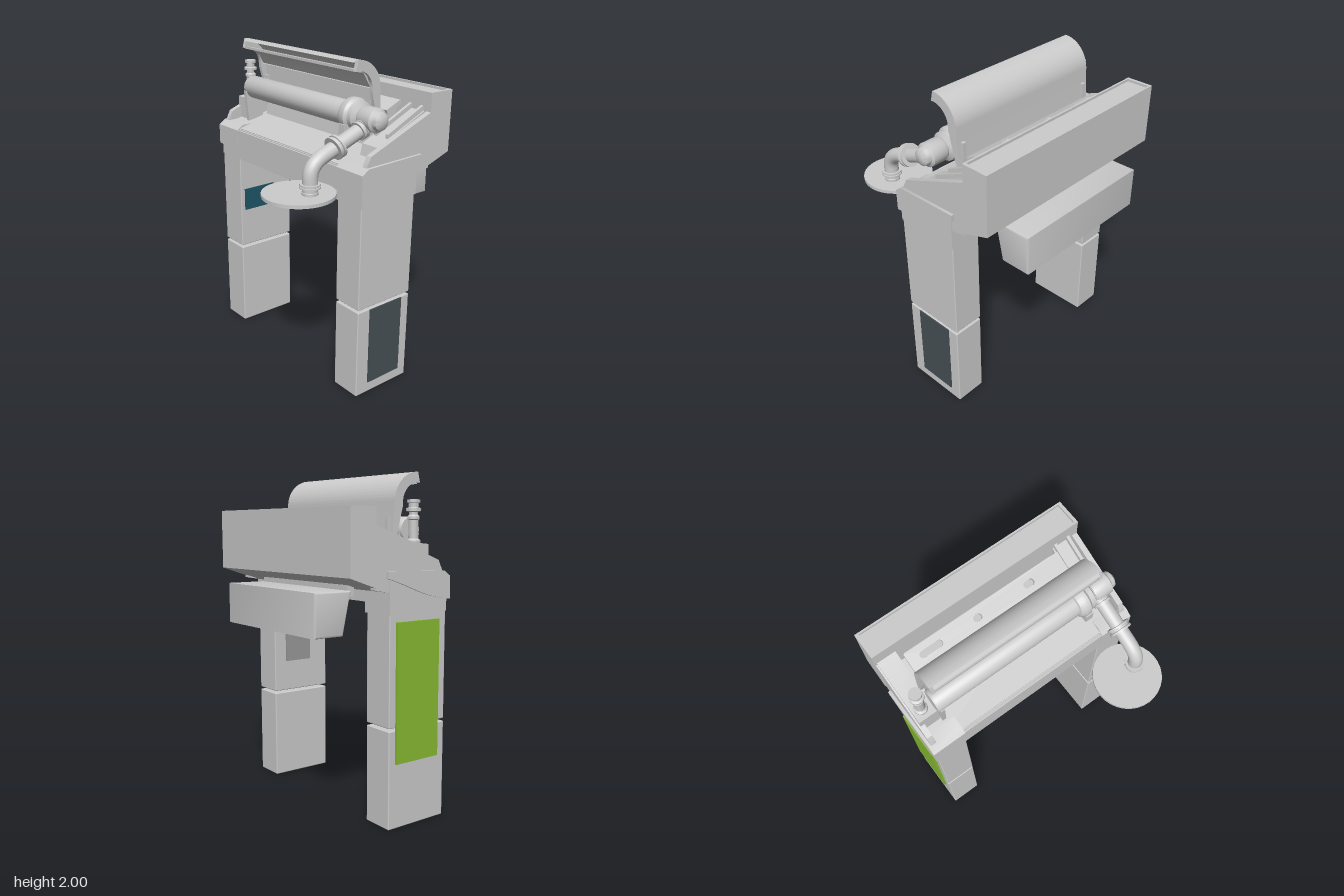
import * as THREE from 'three';
import { RoundedBoxGeometry } from 'three/addons/geometries/RoundedBoxGeometry.js';
import { toCreasedNormals } from 'three/addons/utils/BufferGeometryUtils.js';

export function createModel() {
  const model = new THREE.Group();
  const paint = (color) => new THREE.MeshStandardMaterial({ color });
  const grey = paint(0xcccccc);
  const V = (x, y, z) => new THREE.Vector3(x, y, z);

  function add(name, geometry, material = grey, parent = model) {
    const mesh = new THREE.Mesh(geometry, material);
    mesh.name = name;
    parent.add(mesh);
    return mesh;
  }
  // Box given by its limits on each axis
  function box(name, [x0, x1], [y0, y1], [z0, z1], material, round = 0) {
    const size = [x1 - x0, y1 - y0, z1 - z0];
    const geo = round ? new RoundedBoxGeometry(...size, 2, round) : new THREE.BoxGeometry(...size);
    geo.translate((x0 + x1) / 2, (y0 + y1) / 2, (z0 + z1) / 2);
    return add(name, geo, material);
  }
  // Side profile of [z, y] points, extruded from x0 to x1
  function profile(name, points, x0, x1, bevel = 0) {
    const shape = points instanceof THREE.Shape ? points
      : new THREE.Shape(points.map(([z, y]) => new THREE.Vector2(z, y)));
    const geo = new THREE.ExtrudeGeometry(shape, {
      depth: x1 - x0 - 2 * bevel, bevelEnabled: bevel > 0, bevelSize: bevel,
      bevelThickness: bevel, bevelOffset: -bevel, bevelSegments: 3, curveSegments: 20,
    });
    geo.rotateY(-Math.PI / 2).translate(x1 - bevel, 0, 0);
    return add(name, toCreasedNormals(geo, 0.6));
  }
  // Turned part: [radius, height] points, axis turned to point along dir
  function turned(name, points, position, dir = V(0, 1, 0)) {
    const geo = new THREE.LatheGeometry(points.map(([r, h]) => new THREE.Vector2(r, h)), 32);
    const mesh = add(name, toCreasedNormals(geo, 0.6));
    mesh.position.copy(position);
    mesh.quaternion.setFromUnitVectors(V(0, 1, 0), dir.clone().normalize());
    return mesh;
  }

  // Legs, end caps, curved side plates and tray walls on both sides
  for (const side of [-1, 1]) {
    const span = (a, b) => (side > 0 ? [a, b] : [-b, -a]);
    const label = side > 0 ? 'left' : 'right';
    box(label + 'LowerLeg', span(0.5, 0.7), [0, 0.573], [-0.275, 0.14], grey, 0.007);
    box(label + 'UpperLeg', span(0.5, 0.7), [0.588, 1.225], [-0.275, 0.14], grey, 0.006);
    profile(label + 'EndCap', [[0.14, 1.22], [0.14, 1.43], [-0.28, 1.45], [-0.28, 1.22]], ...span(0.49, 0.705));

    const plate = new THREE.Shape();
    plate.moveTo(0.155, 1.29);
    plate.bezierCurveTo(-0.05, 1.31, -0.1, 1.36, -0.3, 1.42);
    plate.lineTo(-0.3, 1.46);
    plate.lineTo(0.11, 1.45);
    plate.lineTo(0.155, 1.42);
    profile(label + 'SidePlate', plate, ...span(0.5, 0.718));
    profile(label + 'TrayWall',
      [[0.115, 1.4], [0.115, 1.44], [0.08, 1.51], [-0.38, 1.69], [-0.38, 1.36], [-0.29, 1.345]],
      ...span(0.665, 0.7));
  }

  // Panels let into the legs
  box('greenPanel', [-0.715, -0.7], [0.38, 1.18], [-0.23, 0.08], paint(0x88bb33));
  box('darkPanel', [0.7, 0.708], [0.07, 0.57], [-0.205, 0.05], paint(0x465055));
  box('screenPanel', [-0.5, -0.493], [0.85, 1.0], [-0.13, 0.11], paint(0x1f5566));
  box('innerPanel', [0.488, 0.5], [0.79, 1.04], [-0.19, 0.0], paint(0x9a9a9a));

  // Front beam and sloping tray floor
  box('frontBeam', [-0.5, 0.5], [1.22, 1.425], [0.1, 0.14]);
  box('frontPanel', [-0.5, 0.5], [1.27, 1.42], [0.13, 0.152]);
  profile('trayFloor', [[0.13, 1.4], [0.13, 1.43], [-0.38, 1.56], [-0.38, 1.375], [-0.29, 1.345]], -0.67, 0.67);
  profile('floorStep', [[-0.1, 1.45], [-0.12, 1.58], [-0.38, 1.62], [-0.38, 1.5]], -0.53, 0.5);

  // Rear cabinet with a thin rim round its top
  profile('rearCabinet', [[-0.375, 1.372], [-0.375, 1.785], [-0.545, 1.785], [-0.545, 1.43]], -0.705, 0.7);
  for (const z of [-0.545, -0.387]) box('cabinetRim', [-0.705, 0.7], [1.78, 1.8], [z, z + 0.012]);
  for (const x of [-0.705, 0.68]) box('cabinetRim', [x, x + 0.02], [1.78, 1.8], [-0.545, -0.375]);

  // Bin behind the machine
  profile('rearBin', [[-0.38, 1.345], [-0.625, 1.345], [-0.625, 1.095], [-0.435, 1.095]], -0.495, 0.475, 0.012);
  box('binBracket', [-0.46, 0.44], [1.31, 1.375], [-0.385, -0.335]);

  // Consoles at both ends of the tray
  profile('rightConsole', [[0.01, 1.43], [0.01, 1.6], [-0.1, 1.61], [-0.38, 1.71], [-0.38, 1.43]], -0.69, -0.57);
  profile('leftConsole', [[0.0, 1.44], [-0.02, 1.53], [-0.38, 1.69], [-0.38, 1.44]], 0.52, 0.65);
  for (const x of [0.53, 0.62]) {
    profile('consoleRail', [[-0.1, 1.56], [-0.1, 1.59], [-0.38, 1.72], [-0.38, 1.68]], x, x + 0.02);
  }

  // Slotted guide plate, tilted back behind the roller
  const guide = new THREE.Shape();
  guide.moveTo(-0.53, -0.06).lineTo(0.53, -0.06).lineTo(0.53, 0.06).lineTo(-0.53, 0.06);
  for (const [a, b] of [[-0.46, -0.31], [-0.1, -0.045], [0.25, 0.32]]) {
    const slot = new THREE.Path();
    slot.absarc(a + 0.02, 0, 0.02, Math.PI / 2, Math.PI * 1.5);
    slot.absarc(b - 0.02, 0, 0.02, -Math.PI / 2, Math.PI / 2);
    guide.holes.push(slot);
  }
  const guidePlate = add('guidePlate', new THREE.ExtrudeGeometry(guide, { depth: 0.025, bevelEnabled: false }));
  guidePlate.position.set(-0.02, 1.69, -0.275);
  guidePlate.rotation.x = -Math.PI / 2 + 0.4;
  box('guideSupport', [-0.53, 0.49], [1.57, 1.69], [-0.31, -0.24]);

  // Raised curved hood: a channel between two end plates
  function hoodShape(wall) {
    const hood = new THREE.Shape();
    const inner = wall ? 0.17 - wall : 0.11;
    hood.moveTo(0.04, 2.0);
    hood.absarc(0.025, 1.83, 0.17, Math.PI / 2, Math.PI);
    hood.lineTo(-0.16, 1.62);
    hood.lineTo(-0.135, 1.62);
    hood.lineTo(0.025 - inner, 1.81);
    hood.absarc(0.025, 1.83, inner, Math.PI, Math.PI / 2, true);
    hood.lineTo(0.04, 1.83 + inner);
    return hood;
  }
  profile('hood', hoodShape(0.015), -0.56, 0.5);
  profile('hoodEnd', hoodShape(0), -0.58, -0.555);
  profile('hoodEnd', hoodShape(0), 0.495, 0.52);
  profile('hoodLining', [[0.035, 1.935], [0.035, 1.95], [-0.02, 1.94], [-0.06, 1.9], [-0.09, 1.83],
    [-0.105, 1.83], [-0.07, 1.89], [-0.025, 1.925]], -0.56, 0.5);

  // Long roller with stepped flange and rounded end joint
  const along = V(1, 0, 0);
  turned('roller', [[0, -0.575], [0.066, -0.575], [0.072, -0.565], [0.072, 0.39], [0.085, 0.395], [0.1, 0.42],
    [0.1, 0.455], [0.085, 0.47], [0.085, 0.5], [0.055, 0.515], [0.055, 0.53], [0, 0.53]], V(0, 1.68, -0.025), along);
  turned('endJoint', [[0, 0.52], [0.06, 0.52], [0.07, 0.54], [0.07, 0.63], [0.055, 0.64],
    [0.05, 0.665], [0.03, 0.678], [0, 0.68]], V(0, 1.68, -0.025), along);
  profile('rollerFoot', [[0.03, 1.46], [0.05, 1.66], [-0.1, 1.66], [-0.08, 1.48]], -0.565, -0.54);
  box('flangeLug', [0.42, 0.47], [1.58, 1.64], [0.03, 0.075]);
  for (const x of [-0.55, 0.47]) box('hoodArm', [x, x + 0.025], [1.56, 1.75], [-0.17, -0.11]);

  // Bent outlet pipe with collars
  const path = new THREE.CurvePath();
  const bendStart = V(0.56, 1.535, 0.27), bendEnd = V(0.56, 1.41, 0.39);
  path.add(new THREE.LineCurve3(V(0.56, 1.65, -0.03), bendStart));
  path.add(new THREE.CubicBezierCurve3(bendStart, V(0.56, 1.51, 0.345), V(0.56, 1.48, 0.39), bendEnd));
  path.add(new THREE.LineCurve3(bendEnd, V(0.56, 1.32, 0.39)));
  add('outletPipe', new THREE.TubeGeometry(path, 48, 0.043, 24, false));
  const slope = V(0, -0.115, 0.3);
  const collar = (r, h) => [[0, -h], [r, -h], [r, -h / 3], [r * 0.88, -h / 4], [r * 0.88, h / 4], [r, h / 3], [r, h], [0, h]];
  turned('pipeCollar', collar(0.068, 0.02), V(0.56, 1.557, 0.212), slope);
  turned('jointCollar', collar(0.056, 0.02), V(0.56, 1.625, 0.035), slope);
  turned('nozzleCollar', collar(0.058, 0.012), V(0.56, 1.375, 0.39));
  turned('nozzleFoot', [[0, 0], [0.045, 0], [0.045, 0.02], [0.038, 0.03], [0, 0.03]], V(0.56, 1.32, 0.39));

  // Round plate beneath the nozzle
  turned('roundPlate', [[0, -0.01], [0.207, -0.01], [0.207, 0.01], [0, 0.01]], V(0.493, 1.315, 0.415));
  turned('platePin', [[0, -0.03], [0.008, -0.02], [0.008, 0], [0, 0]], V(0.56, 1.308, 0.39));

  // Valve post on the right console
  turned('valvePost', [[0, 0], [0.04, 0], [0.04, 0.02], [0.028, 0.03], [0.028, 0.13], [0.034, 0.135], [0.034, 0.15],
    [0.024, 0.16], [0.024, 0.175], [0.042, 0.18], [0.042, 0.195], [0.028, 0.2], [0.028, 0.222], [0.036, 0.226],
    [0.036, 0.243], [0, 0.243]], V(-0.635, 1.6, -0.055));

  return model;
}
